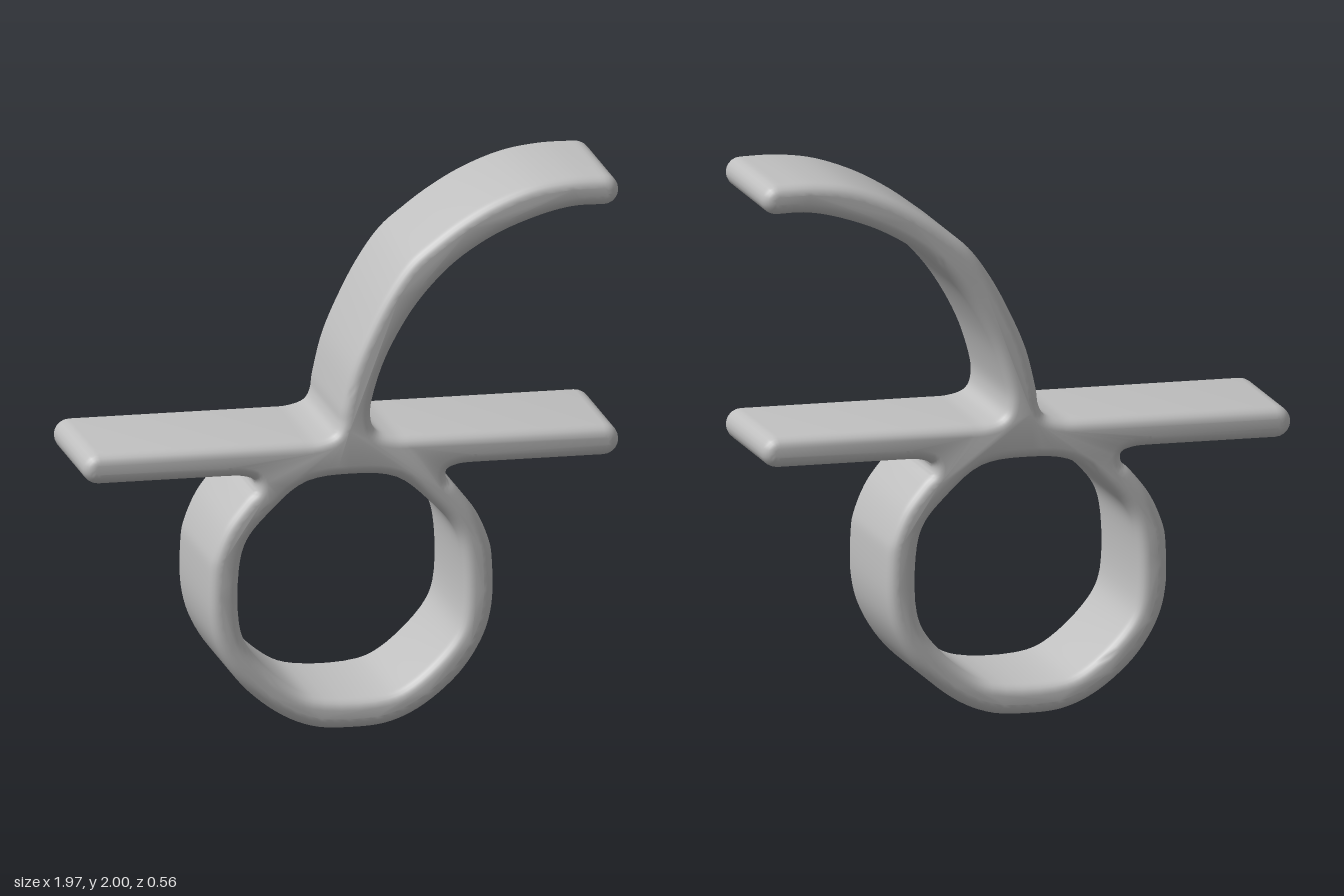
import * as THREE from 'three';
import { toCreasedNormals } from 'three/addons/utils/BufferGeometryUtils.js';

const toPoints = (pairs) => pairs.map(([x, y]) => new THREE.Vector2(x, y));
const mirrorX = (pairs) => pairs.map(([x, y]) => [-x, y]);

export function createModel() {
  const grey = new THREE.MeshStandardMaterial({ color: 0xbfbfbf });
  grey.name = 'grey';

  const barTop = 1.075, barBottom = 0.96, endR = (barTop - barBottom) / 2, endX = 0.985 - endR;
  const barMid = (barTop + barBottom) / 2;

  // Curved blade edges, with fillets where they leave the bar
  const bladeOuter = [
    [-0.19, 1.075], [-0.13, 1.077], [-0.07, 1.095], [-0.045, 1.135], [-0.035, 1.2], [0, 1.34],
    [0.06, 1.48], [0.13, 1.61], [0.21, 1.72], [0.3, 1.795], [0.4, 1.865], [0.52, 1.93],
    [0.66, 1.98], [0.8, 2], [0.93, 2],
  ];
  const bladeInner = [
    [0.93, 1.89], [0.82, 1.89], [0.7, 1.865], [0.55, 1.81], [0.42, 1.735], [0.32, 1.65],
    [0.22, 1.53], [0.13, 1.37], [0.08, 1.22], [0.075, 1.14], [0.1, 1.095], [0.16, 1.077], [0.22, 1.075],
  ];

  // Right half of the ring's outside, from the bar down to the bottom
  const ringOuter = [
    [0.46, 0.96], [0.4, 0.957], [0.355, 0.94], [0.355, 0.905], [0.39, 0.87], [0.46, 0.78],
    [0.505, 0.68], [0.52, 0.6], [0.52, 0.44], [0.485, 0.31], [0.4, 0.18], [0.27, 0.07],
    [0.14, 0.012], [0, 0],
  ];

  // Right half of the ring's opening, from bottom to top
  const holeHalf = [
    [0.13, 0.122], [0.23, 0.17], [0.37, 0.31], [0.407, 0.4],
    [0.407, 0.63], [0.38, 0.72], [0.305, 0.81], [0.17, 0.92],
  ];

  // Outline, clockwise from the left end of the bar
  const outline = new THREE.Shape();
  outline.moveTo(-endX, barBottom);
  outline.absarc(-endX, barMid, endR, -Math.PI / 2, Math.PI / 2, true);
  outline.lineTo(...bladeOuter[0]);
  outline.splineThru(toPoints(bladeOuter.slice(1)));
  outline.absarc(0.93, 1.945, 0.055, Math.PI / 2, -Math.PI / 2, true);
  outline.splineThru(toPoints(bladeInner.slice(1)));
  outline.lineTo(endX, barTop);
  outline.absarc(endX, barMid, endR, Math.PI / 2, -Math.PI / 2, true);
  outline.lineTo(...ringOuter[0]);
  outline.splineThru(toPoints([...ringOuter.slice(1), ...mirrorX(ringOuter).reverse().slice(1)]));
  outline.lineTo(-endX, barBottom);

  // Ring opening, counter-clockwise so that its wall faces inward
  const holeLoop = [...holeHalf, [0, 0.942], ...mirrorX(holeHalf).reverse()];
  const holeCurve = new THREE.CatmullRomCurve3(
    holeLoop.map(([x, y]) => new THREE.Vector3(x, y, 0)), true, 'centripetal');
  const holePoints = holeCurve.getPoints(80).slice(0, -1).map((p) => new THREE.Vector2(p.x, p.y));
  outline.holes.push(new THREE.Path().setFromPoints(holePoints));

  // Fused body with rounded front and back edges
  const halfDepth = 0.28, bevelDepth = 0.05, bevelInset = 0.04;
  const extruded = new THREE.ExtrudeGeometry(outline, {
    depth: 2 * (halfDepth - bevelDepth), curveSegments: 5, bevelEnabled: true,
    bevelThickness: bevelDepth, bevelSize: bevelInset, bevelOffset: -bevelInset, bevelSegments: 5,
  });
  extruded.translate(0, 0, -(halfDepth - bevelDepth));

  const body = new THREE.Mesh(toCreasedNormals(extruded, 0.8), grey);
  body.name = 'ringWithBarAndCurvedBlade';

  const model = new THREE.Group();
  model.name = 'ringHook';
  model.add(body);
  return model;
}
